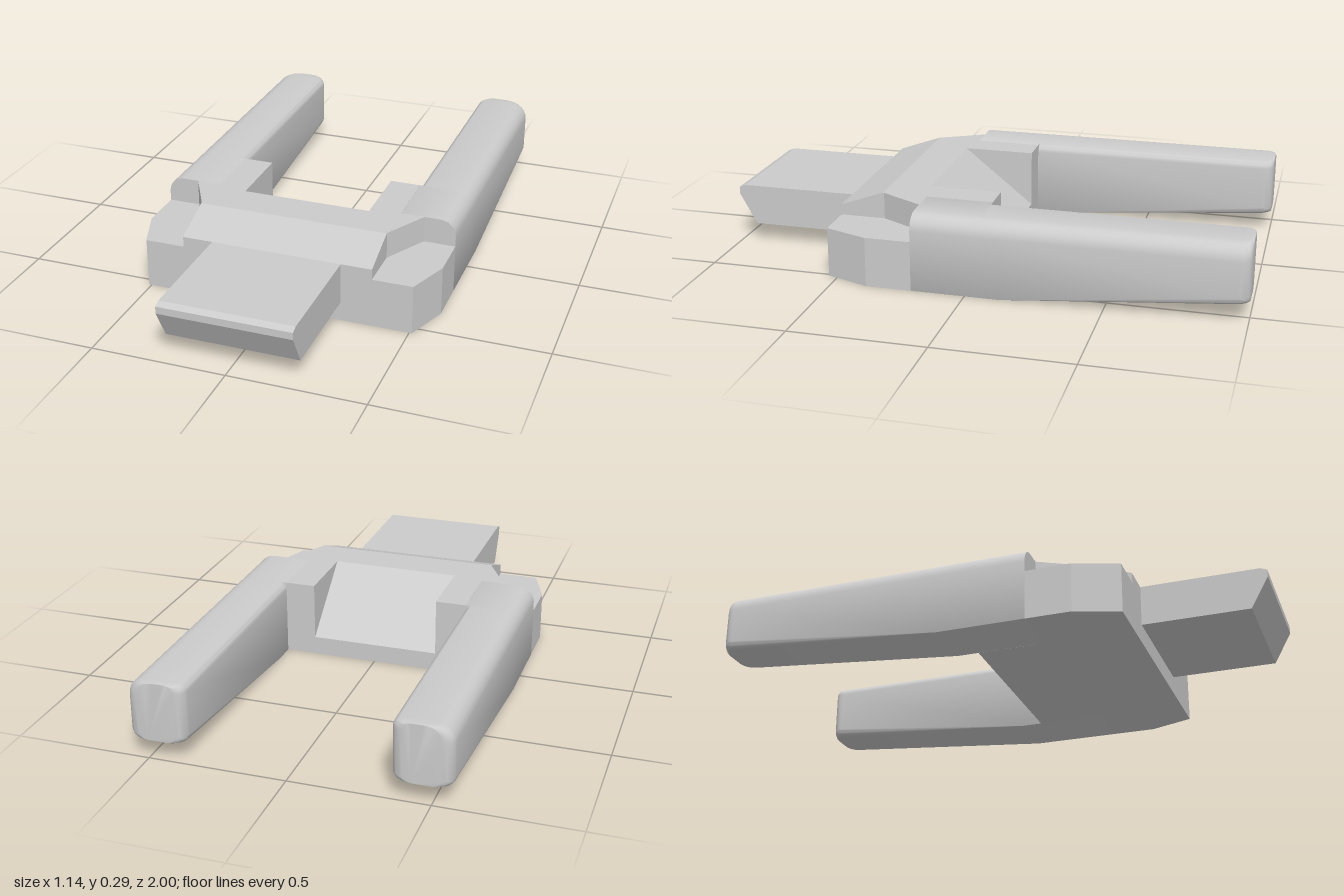
import * as THREE from 'three';
import { toCreasedNormals } from 'three/addons/utils/BufferGeometryUtils.js';

const material = new THREE.MeshStandardMaterial({ color: 0xcccccc });

function addPart(parent, name, geometry) {
  const mesh = new THREE.Mesh(geometry, material);
  mesh.name = name;
  parent.add(mesh);
}

const toShape = (pts) => new THREE.Shape(pts.map(([a, b]) => new THREE.Vector2(a, b)));

// Side profile of [z, y] points, extruded across x from x0 to x1
function sideExtrude(pts, x0, x1) {
  const g = new THREE.ExtrudeGeometry(toShape(pts), { depth: x1 - x0, bevelEnabled: false });
  return g.rotateY(-Math.PI / 2).translate(x1, 0, 0);
}

// Plan outline of [x, z] points, extruded upward from y0 to y1
function planExtrude(pts, y0, y1) {
  const flipped = pts.map(([x, z]) => [x, -z]);
  const g = new THREE.ExtrudeGeometry(toShape(flipped), { depth: y1 - y0, bevelEnabled: false });
  return g.rotateX(-Math.PI / 2).translate(0, y0, 0);
}

// Rectangle with its own radius per corner, counter-clockwise from bottom right
function roundedSection(x0, x1, y0, y1, radii, z) {
  const corners = [[x1, y0, -1, 1], [x1, y1, -1, -1], [x0, y1, 1, -1], [x0, y0, 1, 1]];
  const ring = [];
  corners.forEach(([x, y, sx, sy], k) => {
    const r = Math.max(radii[k], 0.0005);
    for (let i = 0; i <= 6; i++) {
      const a = (k - 1 + i / 6) * Math.PI / 2;
      ring.push([x + sx * r + r * Math.cos(a), y + sy * r + r * Math.sin(a), z]);
    }
  });
  return ring;
}

// Skin over rings ordered from front to back, with both ends closed
function loft(rings) {
  const n = rings[0].length;
  const index = [];
  for (let i = 0; i < rings.length - 1; i++) {
    for (let j = 0; j < n; j++) {
      const a = i * n + j, b = i * n + (j + 1) % n;
      index.push(a, a + n, b, b, a + n, b + n);
    }
  }
  const last = (rings.length - 1) * n;
  for (let j = 1; j < n - 1; j++) {
    index.push(0, j, j + 1, last, last + j + 1, last + j);
  }
  const g = new THREE.BufferGeometry();
  g.setAttribute('position', new THREE.Float32BufferAttribute(rings.flat(2), 3));
  g.setIndex(index);
  return toCreasedNormals(g, 0.7);
}

// Long prong: rounded edges, rising underside, end rounded in plan
function prong(side) {
  const endRadius = 0.04;
  const stations = [[0.2, 0], [-0.05, 0], [-0.051, 0], [-0.13, 0]];
  for (let i = 0; i <= 6; i++) {
    const a = i / 6 * Math.PI / 2;
    stations.push([-1 + endRadius * (1 - Math.sin(a)), endRadius * (1 - Math.cos(a))]);
  }
  return loft(stations.map(([z, inset]) => {
    const t = Math.max(0, (-0.13 - z) / 0.87);
    const topInner = z < -0.0505 ? 0.03 : 0;
    const bottom = 0.03 * t;
    const radii = side > 0 ? [bottom, 0.06, topInner, bottom] : [bottom, topInner, 0.06, bottom];
    const half = 0.105 - inset;
    return roundedSection(side * 0.465 - half, side * 0.465 + half, 0.07 * t, 0.287, radii, z);
  }));
}

export function createModel() {
  const group = new THREE.Group();
  group.name = 'forkedClip';

  // Middle of the body, with a ramp cut into its back
  addPart(group, 'bodyCentre', sideExtrude(
    [[-0.05, 0], [0.535, 0], [0.535, 0.227], [0.37, 0.287], [0.222, 0.287], [-0.05, 0.07]], -0.245, 0.245));

  // Tongue with an undercut nose
  addPart(group, 'tongue', sideExtrude(
    [[0.535, 0.073], [0.935, 0.073], [1, 0.19], [1, 0.217], [0.975, 0.227], [0.535, 0.227]], -0.245, 0.245));

  for (const side of [1, -1]) {
    const half = new THREE.Group();
    half.name = side > 0 ? 'leftSide' : 'rightSide';
    group.add(half);
    const mirror = (pts) => pts.map(([x, z]) => [side * x, z]);

    addPart(half, 'prong', prong(side));

    // Full-height cheek beside the ramp
    const edges = [side * 0.245, side * 0.36].sort((a, b) => a - b);
    addPart(half, 'bodyCheek', sideExtrude(
      [[-0.05, 0], [0.535, 0], [0.535, 0.227], [0.37, 0.287], [-0.05, 0.287]], ...edges));

    // Lower shoulder with a chamfered front corner
    addPart(half, 'shoulder', planExtrude(
      mirror([[0.36, 0.2], [0.57, 0.2], [0.57, 0.37], [0.51, 0.535], [0.36, 0.535]]), 0, 0.187));

    // Angled wall behind the shoulder
    addPart(half, 'shoulderWall', planExtrude(
      mirror([[0.36, 0.2], [0.45, 0.2], [0.36, 0.365]]), 0.187, 0.287));
  }
  return group;
}
